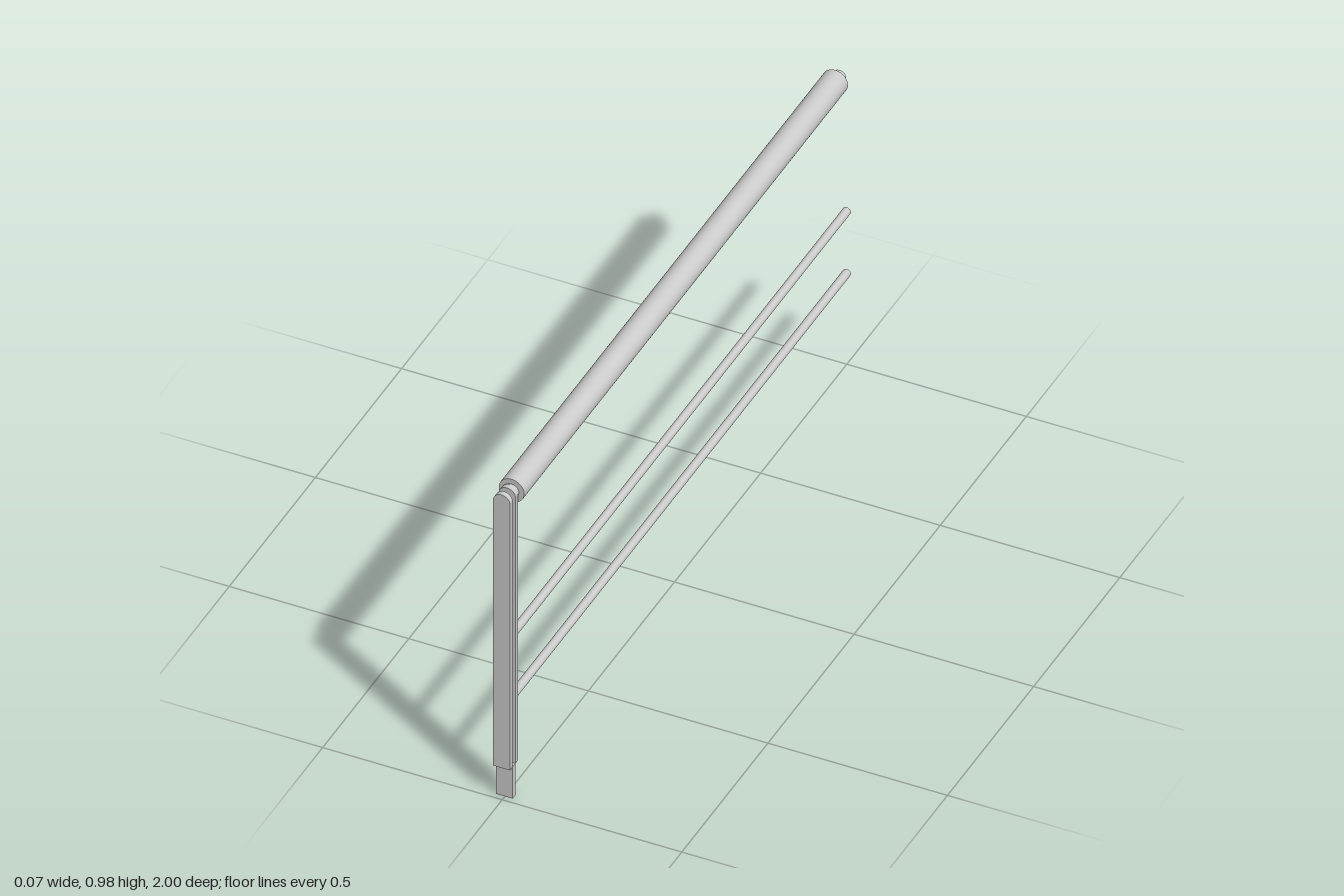
import * as THREE from 'three';

export function createModel() {
  const model = new THREE.Group();
  const material = new THREE.MeshStandardMaterial({ color: 0xcccccc });
  const add = (name, geometry) => {
    const mesh = new THREE.Mesh(geometry, material);
    mesh.name = name;
    model.add(mesh);
    return mesh;
  };

  // Round rod along z between two depths
  const rod = (name, radius, y, zBack, zFront, sides = 40) => {
    const geometry = new THREE.CylinderGeometry(radius, radius, zFront - zBack, sides);
    geometry.rotateX(Math.PI / 2);
    add(name, geometry).position.set(0, y, (zBack + zFront) / 2);
  };

  // Twin post plates with rounded tops
  const postX = -0.002, half = 0.0235, top = 0.962, bottom = 0.1, thickness = 0.016;
  const outline = new THREE.Shape();
  outline.moveTo(-half, bottom);
  outline.lineTo(half, bottom);
  outline.lineTo(half, top - half);
  outline.absarc(0, top - half, half, 0, Math.PI, false);
  outline.closePath();
  for (const [name, z] of [['outerPostPlate', 0.984], ['innerPostPlate', 0.952]]) {
    const plate = new THREE.ExtrudeGeometry(outline, { depth: thickness, bevelEnabled: false, curveSegments: 20 });
    add(name, plate).position.set(postX, 0, z);
  }

  // Mounting tongue held between the plates
  add('mountingTongue', new THREE.BoxGeometry(half * 2, bottom, thickness)).position.set(postX, bottom / 2, 0.976);

  // Handrail with a narrower spigot at each end
  rod('handrail', 0.0355, 0.9395, -0.933, 0.946);
  rod('backSpigot', 0.0185, 0.9395, -0.958, -0.933);
  rod('frontSpigot', 0.0205, 0.9395, 0.946, 0.968);

  // Thin infill bars, running into the gap of the post
  for (const y of [0.484, 0.289]) {
    rod('infillBar', 0.0115, y, -1, 0.952, 24);
    rod('barSpacer', 0.0135, y, 0.952, 0.984, 24);
  }
  return model;
}
